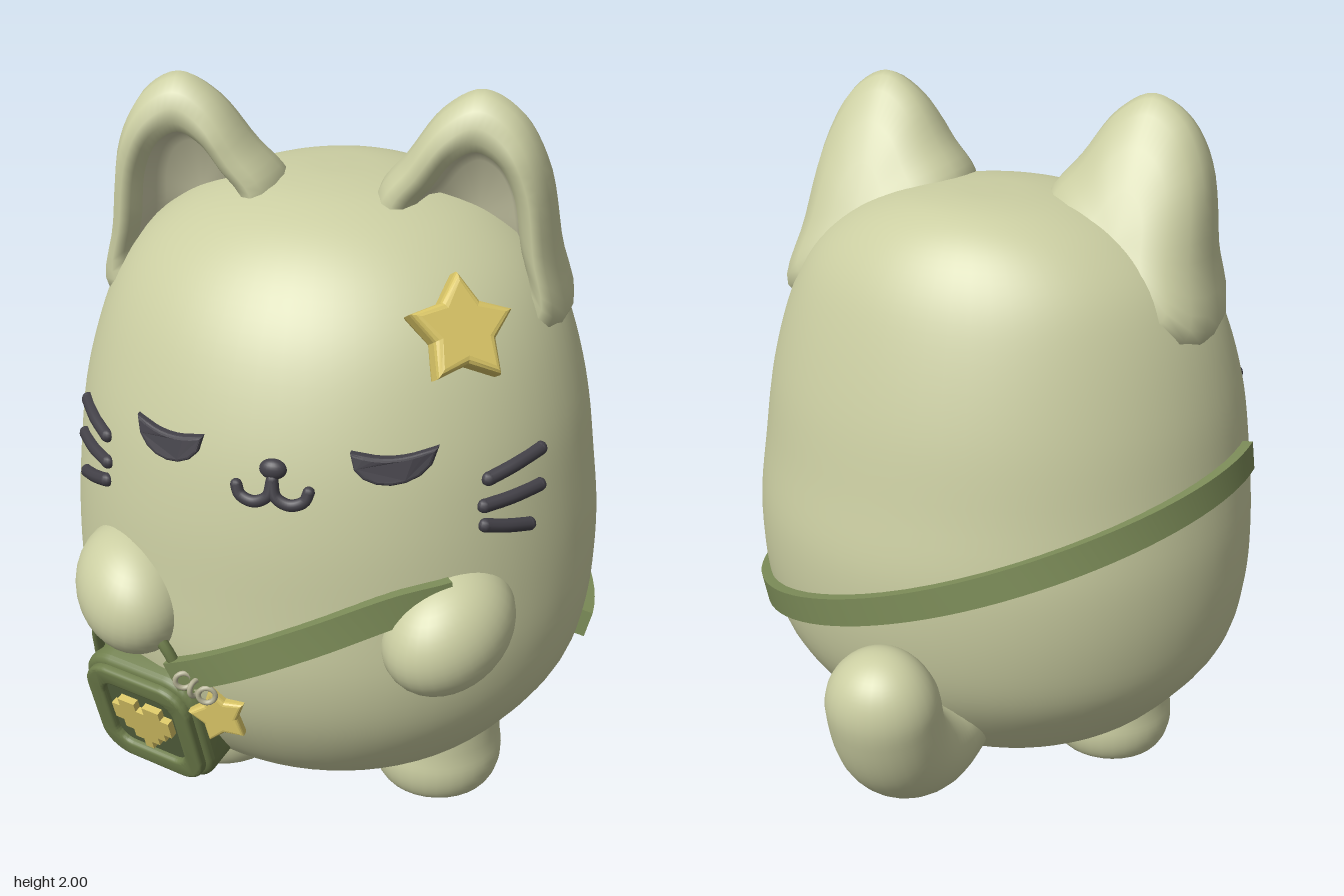
import * as THREE from 'three';
import { mergeGeometries, mergeVertices, toCreasedNormals } from 'three/addons/utils/BufferGeometryUtils.js';

const V = (x, y, z = 0) => new THREE.Vector3(x, y, z);
const paint = (name, color) => Object.assign(new THREE.MeshStandardMaterial({ color }), { name });

// Body slices: height, half width, front z, back z
const SLICES = [
  [0.1, 0, 0.14, 0.14], [0.105, 0.15, 0.28, 0], [0.125, 0.3, 0.42, -0.13], [0.2, 0.46, 0.57, -0.28],
  [0.3, 0.57, 0.67, -0.38], [0.45, 0.675, 0.75, -0.475], [0.62, 0.715, 0.785, -0.52], [0.82, 0.72, 0.78, -0.53],
  [1.02, 0.7, 0.765, -0.5], [1.22, 0.67, 0.725, -0.465], [1.42, 0.61, 0.65, -0.41], [1.56, 0.53, 0.56, -0.355],
  [1.66, 0.41, 0.45, -0.285], [1.72, 0.27, 0.32, -0.2], [1.745, 0.13, 0.18, -0.1], [1.75, 0, 0.04, 0.04],
];
const spline = (pts) => new THREE.CatmullRomCurve3(pts, false, 'catmullrom', 0.5);
const fronts = spline(SLICES.map(([y, r, f]) => V(r, y, f)));
const backs = spline(SLICES.map(([y, , , b]) => V(b, y, 0)));
const samples = Array.from({ length: 76 }, (_, i) => {
  const f = fronts.getPoint(i / 75), b = backs.getPoint(i / 75).x;
  return { y: f.y, rx: Math.max(f.x, 0), zc: (f.z + b) / 2, rz: Math.max((f.z - b) / 2, 0) };
});
function slice(y) {
  let i = 1;
  while (i < 75 && samples[i].y < y) i++;
  const a = samples[i - 1], b = samples[i], t = (y - a.y) / (b.y - a.y || 1);
  const mix = (k) => a[k] + (b[k] - a[k]) * t;
  return { y, rx: mix('rx'), zc: mix('zc'), rz: mix('rz') };
}
const onSlice = (s, a) => V(s.rx * Math.sin(a), s.y, s.zc + s.rz * Math.cos(a));
function frontZ(x, y) {
  const s = slice(y);
  return s.zc + s.rz * Math.sqrt(Math.max(0, 1 - (x / s.rx) ** 2));
}
const onFront = (x, y, out = 0) => V(x, y, frontZ(x, y) + out);
function normalAt(p) {
  const f = (y) => { const s = slice(y); return (p.x / s.rx) ** 2 + ((p.z - s.zc) / s.rz) ** 2; };
  const s = slice(p.y);
  return V(2 * p.x / s.rx ** 2, (f(p.y + 0.02) - f(p.y - 0.02)) / 0.04, 2 * (p.z - s.zc) / s.rz ** 2).normalize();
}

// Skin a list of closed rings; caps are only for four-cornered rings
function loft(rings, capped = false) {
  const n = rings[0].length, index = [];
  for (let i = 0; i < rings.length - 1; i++) for (let k = 0; k < n; k++) {
    const a = i * n + k, b = i * n + (k + 1) % n;
    index.push(a, b, b + n, a, b + n, a + n);
  }
  if (capped) {
    const e = (rings.length - 1) * n;
    index.push(0, 2, 1, 0, 3, 2, e, e + 1, e + 2, e, e + 2, e + 3);
  }
  let g = new THREE.BufferGeometry().setFromPoints(rings.flat());
  g.setIndex(index);
  if (capped) return toCreasedNormals(g, 0.6);
  g = mergeVertices(g, 1e-5);
  g.computeVertexNormals();
  return g;
}

// Flat band lying on the body
function band(pts, width) {
  return loft(pts.map((p, i) => {
    const n = normalAt(p);
    const t = pts[Math.min(i + 1, pts.length - 1)].clone().sub(pts[Math.max(i - 1, 0)]).normalize();
    const b = n.clone().cross(t).normalize();
    return [[1, 0.028], [-1, 0.028], [-1, -0.03], [1, -0.03]].map(([s, h]) =>
      p.clone().addScaledVector(b, s * width / 2).addScaledVector(n, h));
  }), true);
}

// Round cord with rounded ends
function cord(pts, r) {
  const ends = [pts[0], pts[pts.length - 1]].map((p) => new THREE.SphereGeometry(r, 10, 8).translate(p.x, p.y, p.z));
  return mergeGeometries([new THREE.TubeGeometry(new THREE.CatmullRomCurve3(pts), 20, r, 10), ...ends]);
}

function roundedSquare(w, r, P = THREE.Shape) {
  const h = w / 2, s = new P();
  [[h - r, h - r, 0], [r - h, h - r, 1], [r - h, r - h, 2], [h - r, r - h, 3]].forEach(([x, y, q]) =>
    s.absarc(x, y, r, q * Math.PI / 2, (q + 1) * Math.PI / 2));
  return s;
}
const extrude = (shape, depth, bevel) => new THREE.ExtrudeGeometry(shape, {
  depth, curveSegments: 8, bevelEnabled: bevel > 0, bevelSize: bevel, bevelThickness: bevel, bevelSegments: 3,
});
function starGeometry(r, depth, bevel) {
  const pts = Array.from({ length: 10 }, (_, i) => {
    const a = Math.PI / 2 + i * Math.PI / 5, d = (i % 2 ? 0.56 : 1) * r;
    return new THREE.Vector2(Math.cos(a) * d, Math.sin(a) * d);
  });
  return extrude(new THREE.Shape(pts), depth, bevel);
}

export function createModel() {
  const fur = paint('sage fur', 0xcbcea2), inner = paint('pale inner ear', 0xd0cfac);
  const strap = paint('olive strap', 0x7d8d59), bagGreen = paint('bag green', 0x6f7e4c);
  const deep = paint('deep green', 0x566440), gold = paint('gold', 0xd9c566);
  const dark = paint('charcoal', 0x434148), metal = paint('pale metal', 0xb5b295);
  const model = new THREE.Group();
  const add = (name, geo, mat, parent = model) => {
    const m = new THREE.Mesh(geo, mat);
    m.name = name;
    parent.add(m);
    return m;
  };

  // Egg-shaped body
  add('body', loft(samples.map((s) => Array.from({ length: 64 }, (_, k) => onSlice(s, k / 32 * Math.PI)))), fur);

  // Tail
  const path = new THREE.CatmullRomCurve3([V(0, 0.33, -0.3), V(0, 0.32, -0.47), V(0, 0.4, -0.61), V(0, 0.55, -0.675), V(0, 0.72, -0.685)]);
  add('tail', loft(Array.from({ length: 41 }, (_, i) => {
    const u = 1 - (1 - i / 40) ** 1.6, p = path.getPointAt(u), n = path.getTangentAt(u).cross(V(1, 0, 0));
    const r = 0.14 * (u > 0.75 ? Math.sqrt(Math.max(0, 1 - ((u - 0.75) / 0.25) ** 2)) : 1);
    return Array.from({ length: 28 }, (_, k) => {
      const a = k / 14 * Math.PI;
      return p.clone().addScaledVector(n, r * Math.sin(a)).add(V(1.1 * r * Math.cos(a), 0, 0));
    });
  })), fur);

  // Ears: back dome and thick rim, then the hollow
  const outline = [[0.61, 1.4], [0.585, 1.6], [0.55, 1.82], [0.48, 1.95], [0.385, 2], [0.29, 1.95], [0.2, 1.83], [0.12, 1.72], [0.14, 1.5], [0.36, 1.38]];
  const shell = [[0, 0], [0.35, 0.01], [0.65, 0.06], [0.87, 0.2], [0.97, 0.37], [1, 0.55], [0.97, 0.78], [0.88, 0.95], [0.77, 1], [0.66, 0.95], [0.58, 0.82]];
  const hollow = [[0.58, 0.82], [0.53, 0.6], [0.45, 0.5], [0, 0.47]];
  for (const side of [1, -1]) {
    const edge = new THREE.CatmullRomCurve3(outline.map(([x, y]) => V(x * side, y)), true).getPoints(48).slice(0, 48);
    if (side < 0) edge.reverse();
    const c = V(0.37 * side, 1.66);
    const rings = (rows) => rows.map(([s, w]) => edge.map((e) => {
      const p = c.clone().lerp(e, s), back = 0.1 - 0.5 * (1.95 - p.y), front = 0.29 - 0.25 * Math.max(0, p.y - 1.85);
      p.z = back + (front - back) * w;
      return p;
    }));
    const label = side > 0 ? 'left' : 'right';
    add(label + 'Ear', loft(rings(shell)), fur);
    add(label + 'InnerEar', loft(rings(hollow)), inner);

    // Arms
    const arm = add(label + 'Arm', new THREE.SphereGeometry(1, 32, 24), fur);
    arm.scale.set(0.15, 0.155, 0.195);
    arm.position.set(0.415 * side, 0.755, 0.63);
    arm.lookAt(arm.position.clone().add(V(-0.35 * side, -0.25, 0.6)));

    // Feet with flat soles
    const profile = [[0.13, 0], [0.158, 0.012], [0.178, 0.05], [0.185, 0.1], [0.178, 0.17], [0.175, 0.3]];
    const curve = new THREE.SplineCurve(profile.map(([x, y]) => new THREE.Vector2(x, y)));
    add(label + 'Foot', new THREE.LatheGeometry(curve.getPoints(20), 32), fur).position.set(0.32 * side, 0, 0.22);
    add(label + 'Sole', new THREE.CircleGeometry(0.13, 32).rotateX(Math.PI / 2), deep).position.set(0.32 * side, 0, 0.22);

    // Closed eyes, draped on the face
    const lid = new THREE.Shape();
    lid.moveTo(0.09, 0.03);
    lid.quadraticCurveTo(0, 0, -0.09, 0.03);
    lid.bezierCurveTo(-0.08, -0.055, 0.08, -0.055, 0.09, 0.03);
    const eye = extrude(lid, 0.012, 0.008).translate(0.28 * side, 1.21, 0);
    const pos = eye.attributes.position;
    for (let i = 0; i < pos.count; i++) pos.setZ(i, pos.getZ(i) + frontZ(pos.getX(i), pos.getY(i)));
    eye.computeVertexNormals();
    add(label + 'Eye', eye, dark);

    // Whiskers
    [[0.595, 1.175, 0.49, 1.145], [0.6, 1.085, 0.485, 1.08], [0.585, 0.995, 0.49, 1.03]].forEach(([x0, y0, x1, y1]) =>
      add(label + 'Whisker', cord([0, 0.5, 1].map((t) => onFront(side * (x0 + (x1 - x0) * t), y0 + (y1 - y0) * t, 0.004)), 0.018), dark));
    // Half of the mouth
    add(label + 'Mouth', cord([[0.09, 1.148], [0.08, 1.125], [0.045, 1.113], [0.01, 1.13], [0, 1.17]].map(([x, y]) => onFront(x * side, y, 0.004)), 0.015), dark);
  }
  const nose = add('nose', new THREE.SphereGeometry(1, 20, 14), dark);
  nose.scale.set(0.034, 0.026, 0.022);
  nose.position.copy(onFront(0, 1.195));

  // Star hair clip, flat against the head
  const clip = add('headStar', starGeometry(0.115, 0.03, 0.018), gold);
  clip.position.copy(onFront(0.39, 1.485));
  clip.lookAt(clip.position.clone().add(normalAt(clip.position)));
  clip.rotateZ(-0.1);

  // Shoulder strap, front and back runs
  const frontRun = new THREE.CatmullRomCurve3([V(-0.27, 0.575), V(-0.1, 0.665), V(0.1, 0.765), V(0.3, 0.85), V(0.42, 0.87)]);
  add('frontStrap', band(frontRun.getPoints(24).map((p) => onFront(p.x, p.y)), 0.085), strap);
  add('backStrap', band(Array.from({ length: 49 }, (_, i) => {
    const a = 1.55 + i / 48 * 3.2;
    return onSlice(slice(0.78 - 0.266 * Math.sin(a)), a);
  }), 0.08), strap);

  // Bag with raised rim, panel and stepped heart
  const bag = new THREE.Group();
  bag.name = 'bag';
  bag.position.set(-0.365, 0.385, 0.635);
  bag.rotation.set(0.26, -0.32, 0, 'YXZ');
  model.add(bag);
  add('bagBody', toCreasedNormals(extrude(roundedSquare(0.335, 0.08), 0.1, 0.02), 0.7), bagGreen, bag).position.z = -0.07;
  const rim = roundedSquare(0.32, 0.075);
  rim.holes.push(roundedSquare(0.25, 0.055, THREE.Path));
  add('bagRim', toCreasedNormals(extrude(rim, 0.012, 0.01), 0.7), bagGreen, bag).position.z = 0.05;
  add('bagPanel', extrude(roundedSquare(0.26, 0.055), 0.005, 0), deep, bag).position.z = 0.048;
  const cell = 0.027;
  const heart = [[2, 2, -2], [2, 2, 2], [7, 0, 0], [7, -1, 0], [5, -2, 0], [3, -3, 0], [1, -4, 0]]
    .map(([n, row, x], i) => new THREE.BoxGeometry(n * cell, cell, 0.025).translate((i < 2 ? x * 0.75 : x) * cell, (i < 2 ? 1 : row) * cell, 0));
  add('heart', mergeGeometries(heart), gold, bag).position.set(0, 0.03, 0.06);
  add('bagHandle', cord([V(-0.53, 0.53, 0.62), V(-0.5, 0.65, 0.68), V(-0.4, 0.74, 0.72), V(-0.3, 0.67, 0.75), V(-0.245, 0.54, 0.74)], 0.015), bagGreen);

  // Key ring and star charm
  [[-0.235, 0.585, 0.3], [-0.2, 0.575, 1.1], [-0.17, 0.56, 0.2]].forEach(([x, y, turn]) => {
    const ring = add('keyRing', new THREE.TorusGeometry(0.022, 0.007, 8, 20), metal);
    ring.position.copy(onFront(x, y, 0.035));
    ring.rotation.y = turn;
  });
  const charm = add('starCharm', starGeometry(0.068, 0.016, 0.01), gold);
  charm.position.copy(onFront(-0.145, 0.49, 0.012));
  charm.rotation.z = 0.3;

  return model;
}
